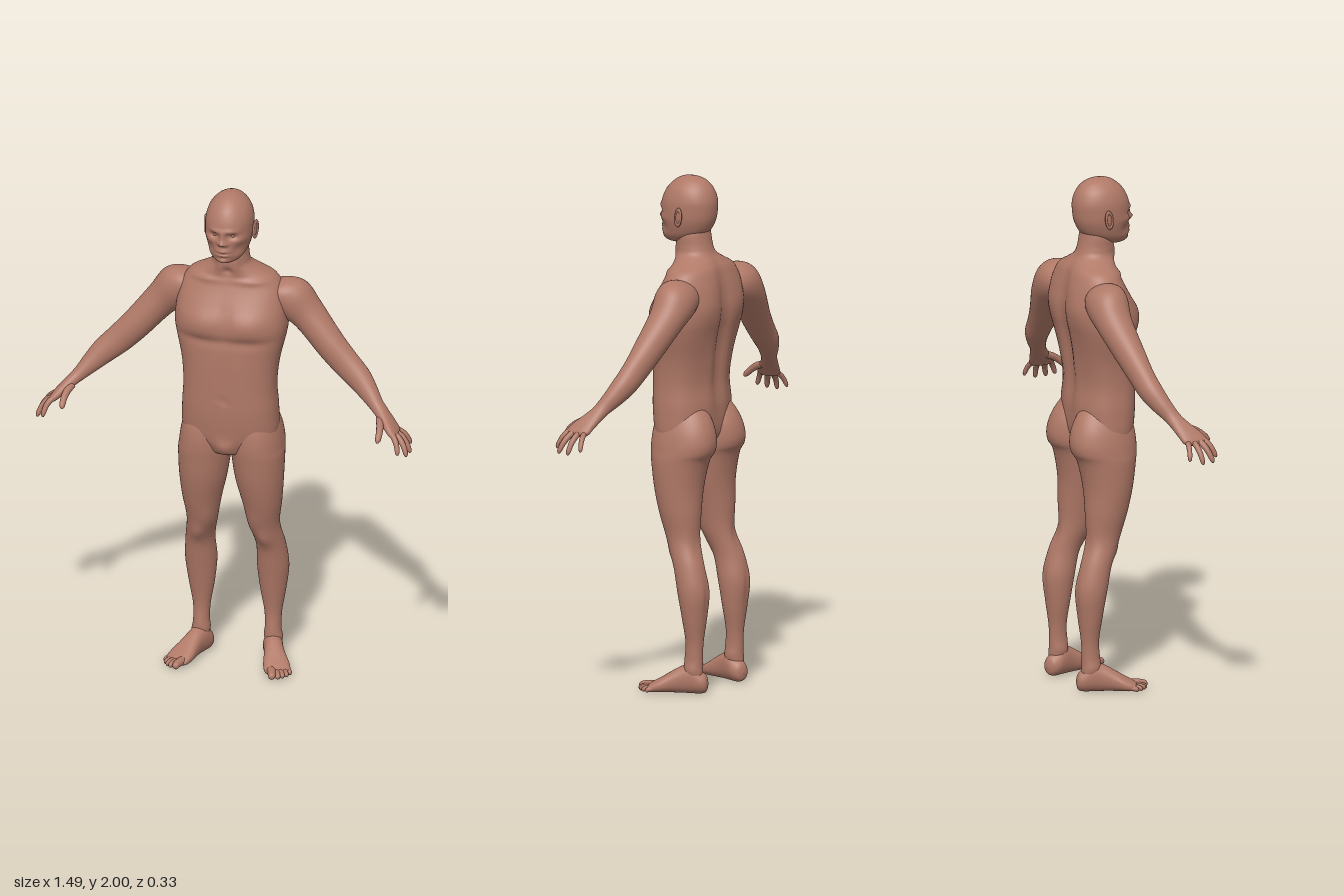
import * as THREE from 'three';

const skin = new THREE.MeshStandardMaterial({ color: 0xb07967 });
skin.name = 'skin';

const X = new THREE.Vector3(1, 0, 0), Y = new THREE.Vector3(0, 1, 0), Z = new THREE.Vector3(0, 0, 1);

// Smooth interpolation between four numbers
function spline(a, b, c, d, t) {
  return 0.5 * (2 * b + (c - a) * t + (2 * a - 5 * b + 4 * c - d) * t * t + (3 * b - a - 3 * c + d) * t * t * t);
}

// Skin over oval sections [x, y, z, radiusU, radiusV, squareness]; sections advance along U x V
function loft(rows, U, V, sides = 32, steps = 5) {
  const pos = [], idx = [], last = rows.length - 1;
  const at = i => rows[Math.min(last, Math.max(0, i))];
  const rings = last * steps;
  for (let i = 0; i <= rings; i++) {
    const k = Math.min(last - 1, Math.floor(i / steps)), t = i / steps - k;
    const f = j => spline(at(k - 1)[j] ?? 2, at(k)[j] ?? 2, at(k + 1)[j] ?? 2, at(k + 2)[j] ?? 2, t);
    const ru = Math.max(0, f(3)), rv = Math.max(0, f(4)), e = 2 / f(5);
    for (let s = 0; s < sides; s++) {
      const a = (s / sides) * Math.PI * 2, c = Math.cos(a), d = Math.sin(a);
      const p = new THREE.Vector3(f(0), f(1), f(2))
        .addScaledVector(U, ru * Math.sign(c) * Math.abs(c) ** e)
        .addScaledVector(V, rv * Math.sign(d) * Math.abs(d) ** e);
      pos.push(p.x, p.y, p.z);
      if (i < rings) {
        const n = (s + 1) % sides, q = i * sides, r = q + sides;
        idx.push(q + s, q + n, r + s, q + n, r + n, r + s);
      }
    }
  }
  const g = new THREE.BufferGeometry();
  g.setAttribute('position', new THREE.Float32BufferAttribute(pos, 3));
  g.setIndex(idx);
  g.computeVertexNormals();
  return g;
}

// Upright sections [y, left x, right x, front z, back z, squareness], listed from the top down
const upright = rows => rows.map(([y, a, b, f, k, n = 2]) => [(a + b) / 2, y, (f + k) / 2, (b - a) / 2, (f - k) / 2, n]);
const centred = rows => upright(rows.map(([y, w, ...r]) => [y, -w, w, ...r]));

// Soft bumps and hollows [x, y, z, spreadX, spreadY, pushX, pushY, pushZ]
function sculpt(g, bumps, mirror) {
  const all = bumps.flatMap(b => (mirror && b[0] ? [b, [-b[0], ...b.slice(1, 5), -b[5], b[6], b[7]]] : [b]));
  const p = g.attributes.position;
  for (let i = 0; i < p.count; i++) {
    const x = p.getX(i), y = p.getY(i), z = p.getZ(i), o = [x, y, z];
    for (const b of all) {
      const w = Math.exp(-(((x - b[0]) / b[3]) ** 2) - ((y - b[1]) / b[4]) ** 2 - ((z - b[2]) / 0.07) ** 2);
      for (let j = 0; j < 3; j++) o[j] += w * b[5 + j];
    }
    p.setXYZ(i, ...o);
  }
  g.computeVertexNormals();
  return g;
}

// Tapered, slightly arched finger or toe
function digit(a, b, r, arch) {
  const A = new THREE.Vector3(...a), B = new THREE.Vector3(...b);
  const D = B.clone().sub(A).normalize();
  const U = new THREE.Vector3().crossVectors(D, Math.abs(D.z) > 0.8 ? X : Z).normalize();
  const V = new THREE.Vector3().crossVectors(D, U);
  const rows = [[0, 1], [0.3, 1], [0.6, 0.92], [0.85, 0.82], [0.96, 0.52], [1, 0]].map(([t, k]) => {
    const p = A.clone().lerp(B, t), h = Math.sin(Math.PI * t) * arch;
    return [p.x + h * 0.6, p.y + h, p.z, r * k, r * k];
  });
  return loft(rows, U, V, 12, 3);
}

function mirrored(g) {
  const m = g.clone().scale(-1, 1, 1), a = m.index.array;
  for (let i = 0; i < a.length; i += 3) [a[i], a[i + 1]] = [a[i + 1], a[i]];
  m.computeVertexNormals();
  return m;
}

export function createModel() {
  const model = new THREE.Group();
  model.name = 'standingMan';
  const add = (name, g) => {
    const m = new THREE.Mesh(g, skin);
    m.name = name;
    model.add(m);
  };
  const pair = (name, g) => {
    add(name + 'Left', g);
    add(name + 'Right', mirrored(g));
  };

  // Neck and torso
  const torso = loft(centred([
    [1.84, 0.05, 0.03, -0.07], [1.78, 0.066, 0.042, -0.078], [1.73, 0.07, 0.05, -0.088],
    [1.7, 0.08, 0.05, -0.1], [1.672, 0.122, 0.045, -0.122, 2.1], [1.645, 0.17, 0.045, -0.138, 2.2],
    [1.6, 0.2, 0.063, -0.15, 2.3], [1.55, 0.212, 0.087, -0.158, 2.4], [1.5, 0.218, 0.106, -0.163, 2.5],
    [1.45, 0.22, 0.113, -0.16, 2.5], [1.4, 0.212, 0.111, -0.15, 2.5], [1.3, 0.19, 0.115, -0.131, 2.4],
    [1.2, 0.182, 0.115, -0.118, 2.4], [1.1, 0.188, 0.113, -0.125, 2.4], [1, 0.186, 0.102, -0.12, 2.3],
    [0.95, 0.15, 0.088, -0.09], [0.92, 0.09, 0.07, -0.06], [0.905, 0, 0.01, 0]]), X, Z, 72, 7);
  add('torso', sculpt(torso, [
    [0.09, 1.475, 0.1, 0.08, 0.055, 0, 0, 0.015],    // chest muscles
    [0.09, 1.405, 0.1, 0.09, 0.018, 0, 0, -0.007],   // crease below the chest
    [0, 1.49, 0.11, 0.016, 0.07, 0, 0, -0.01],       // breastbone
    [0.1, 1.64, 0.04, 0.07, 0.012, 0, 0, 0.008],     // collar bones
    [0, 1.68, 0.05, 0.016, 0.016, 0, 0, -0.01],      // throat hollow
    [0.035, 1.72, 0.04, 0.014, 0.05, 0, 0, 0.006],   // neck tendons
    [0, 1.25, 0.115, 0.014, 0.11, 0, 0, -0.005],     // belly line
    [0, 1.16, 0.115, 0.012, 0.012, 0, 0, -0.007],    // navel
    [0, 1.4, -0.15, 0.028, 0.22, 0, 0, 0.024],       // spine furrow
    [0.11, 1.53, -0.16, 0.065, 0.09, 0, 0, -0.012],  // shoulder blades
    [0.05, 1.2, -0.12, 0.035, 0.12, 0, 0, -0.006],   // lower back muscles
    [0, 0.95, 0.085, 0.035, 0.035, 0, 0, 0.018],     // groin
  ], true));

  // Head, shaped from smooth sections with sculpted features
  const head = loft(centred([
    [2, 0, 0.001, -0.001], [1.995, 0.026, 0.034, -0.036], [1.98, 0.052, 0.064, -0.068], [1.95, 0.077, 0.095, -0.094],
    [1.91, 0.09, 0.114, -0.107, 2.1], [1.87, 0.092, 0.12, -0.107, 2.1], [1.83, 0.089, 0.117, -0.1, 2.1],
    [1.79, 0.079, 0.116, -0.08, 2.1], [1.765, 0.067, 0.114, -0.05, 2.1], [1.747, 0.048, 0.107, -0.01],
    [1.737, 0.024, 0.088, 0.02], [1.734, 0, 0.06, 0.05]]), X, Z, 80, 9);
  add('head', sculpt(head, [
    [0.03, 1.878, 0.11, 0.024, 0.01, 0, 0, 0.007],   // brow
    [0.034, 1.857, 0.105, 0.018, 0.013, 0, 0, -0.016], // eye sockets
    [0, 1.852, 0.12, 0.01, 0.022, 0, 0, 0.012],      // nose bridge
    [0, 1.832, 0.12, 0.012, 0.011, 0, -0.003, 0.02], // nose tip
    [0.014, 1.827, 0.115, 0.008, 0.008, 0, 0, 0.01], // nostrils
    [0, 1.787, 0.115, 0.028, 0.02, 0, 0, 0.013],     // lips
    [0, 1.787, 0.115, 0.025, 0.0045, 0, 0, -0.009],  // mouth line
    [0, 1.768, 0.115, 0.022, 0.006, 0, 0, -0.004],   // hollow above the chin
    [0, 1.752, 0.11, 0.022, 0.012, 0, 0, 0.01],      // chin
    [0.06, 1.838, 0.08, 0.022, 0.016, 0.004, 0, 0.005], // cheekbones
    [0.055, 1.8, 0.08, 0.018, 0.02, -0.004, 0, -0.004], // cheeks
  ], true));
  pair('eye', new THREE.SphereGeometry(0.013, 20, 14).translate(0.034, 1.857, 0.088));
  const ear = new THREE.SphereGeometry(1, 20, 16).scale(0.007, 0.032, 0.016);
  pair('ear', ear.rotateX(-0.15).rotateY(-0.3).translate(0.095, 1.848, -0.004));
  const rim = new THREE.TorusGeometry(0.016, 0.0045, 10, 28).scale(1, 1.9, 1).rotateY(Math.PI / 2);
  pair('earRim', rim.rotateX(-0.15).rotateY(-0.3).translate(0.099, 1.85, -0.005));

  // Legs with buttocks
  const leg = loft(upright([
    [1.14, 0.07, 0.11, 0, -0.06], [1.12, 0.035, 0.14, 0.04, -0.1], [1.08, 0.014, 0.168, 0.075, -0.135],
    [1.03, 0.003, 0.189, 0.092, -0.158, 2.1], [0.98, 0.001, 0.2, 0.098, -0.167, 2.15], [0.94, 0.001, 0.205, 0.098, -0.16, 2.15],
    [0.9, 0.004, 0.208, 0.094, -0.136, 2.1], [0.8, 0.018, 0.205, 0.08, -0.116], [0.7, 0.042, 0.196, 0.055, -0.112],
    [0.6, 0.063, 0.183, 0.022, -0.113], [0.5, 0.083, 0.197, -0.02, -0.143], [0.4, 0.081, 0.205, -0.042, -0.166],
    [0.3, 0.091, 0.193, -0.06, -0.157], [0.2, 0.108, 0.176, -0.074, -0.144], [0.12, 0.112, 0.174, -0.068, -0.142],
    [0.06, 0.115, 0.172, -0.07, -0.142], [0.03, 0.13, 0.155, -0.09, -0.12]]), X, Z, 48, 5);
  pair('leg', sculpt(leg, [
    [0.13, 0.54, 0, 0.028, 0.03, 0, 0, 0.012],       // kneecap
    [0.09, 0.61, 0, 0.03, 0.05, -0.003, 0, 0.006],   // inner thigh muscle
    [0.135, 0.57, -0.12, 0.025, 0.05, 0, 0, 0.008],  // back of the knee
    [0.142, 0.38, -0.165, 0.012, 0.07, 0, 0, 0.005], // calf split
    [0.172, 0.095, -0.1, 0.02, 0.02, 0.007, 0, 0],   // outer ankle
    [0.112, 0.105, -0.1, 0.02, 0.02, -0.006, 0, 0],  // inner ankle
  ], false));

  // Feet, turned outwards, and toes
  pair('foot', loft([
    [0.123, 0.04, -0.16, 0, 0], [0.126, 0.04, -0.153, 0.024, 0.03], [0.132, 0.045, -0.132, 0.036, 0.044],
    [0.143, 0.058, -0.1, 0.038, 0.057, 2.2], [0.157, 0.053, -0.06, 0.038, 0.052, 2.2], [0.172, 0.041, -0.02, 0.044, 0.04, 2.3],
    [0.187, 0.029, 0.015, 0.051, 0.028, 2.4], [0.2, 0.02, 0.046, 0.05, 0.018, 2.4], [0.206, 0.017, 0.06, 0.038, 0.011],
    [0.208, 0.016, 0.066, 0, 0]], new THREE.Vector3(0.92, 0, -0.39), Y, 36, 5));
  [[0.172, 0.021, 0.045, 0.194, 0.016, 0.112, 0.017], [0.193, 0.018, 0.05, 0.216, 0.012, 0.1, 0.012],
    [0.206, 0.018, 0.045, 0.231, 0.012, 0.087, 0.0115], [0.217, 0.017, 0.033, 0.243, 0.011, 0.069, 0.011],
    [0.226, 0.016, 0.018, 0.251, 0.011, 0.047, 0.011]].forEach((t, i) =>
    pair('toe' + (i + 1), digit(t.slice(0, 3), t.slice(3, 6), t[6], 0.004)));

  // Arms down to the palms
  pair('arm', loft([
    [0.12, 1.6, -0.06, 0.02, 0.03], [0.165, 1.577, -0.065, 0.075, 0.072], [0.222, 1.546, -0.073, 0.088, 0.081],
    [0.29, 1.485, -0.074, 0.068, 0.07], [0.385, 1.378, -0.05, 0.06, 0.056], [0.45, 1.312, -0.036, 0.056, 0.047],
    [0.51, 1.258, -0.021, 0.049, 0.045], [0.555, 1.213, 0.002, 0.038, 0.039], [0.59, 1.177, 0.026, 0.028, 0.034],
    [0.62, 1.15, 0.046, 0.023, 0.039, 2.2], [0.655, 1.117, 0.071, 0.019, 0.049, 2.4], [0.68, 1.092, 0.083, 0.014, 0.046, 2.4],
    [0.69, 1.082, 0.087, 0, 0]], new THREE.Vector3(0.71, 0.704, 0), Z, 40, 6));

  // Thumb and fingers
  [[0.612, 1.14, 0.07, 0.628, 1.08, 0.166, 0.0145], [0.668, 1.105, 0.113, 0.707, 1.033, 0.157, 0.0115],
    [0.678, 1.099, 0.096, 0.736, 1.02, 0.131, 0.012], [0.68, 1.096, 0.073, 0.74, 1.018, 0.086, 0.0115],
    [0.67, 1.1, 0.05, 0.73, 1.034, 0.033, 0.0105]].forEach((f, i) =>
    pair(['thumb', 'indexFinger', 'middleFinger', 'ringFinger', 'littleFinger'][i],
      digit(f.slice(0, 3), f.slice(3, 6), f[6], 0.01)));

  return model;
}
